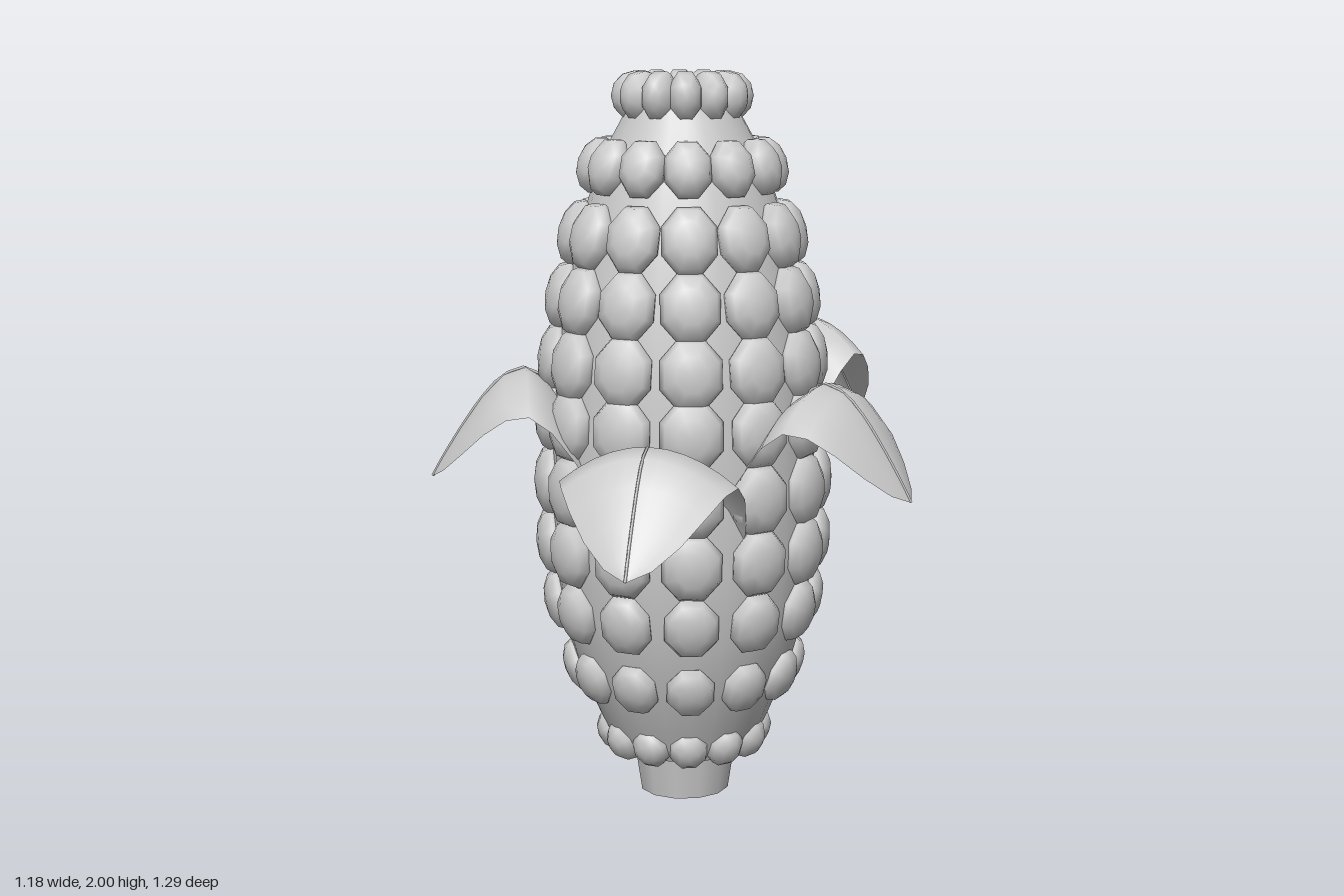
import * as THREE from 'three';
import { mergeGeometries, toCreasedNormals } from 'three/addons/utils/BufferGeometryUtils.js';

const grey = new THREE.MeshStandardMaterial({ color: 0xcccccc, side: THREE.DoubleSide });
grey.name = 'plain grey';

function part(name, geometry) {
  const mesh = new THREE.Mesh(geometry, grey);
  mesh.name = name;
  return mesh;
}

// Rows of kernels: height, centre radius, half width, half height, depth, tilt
const ROWS = [
  [0.17, 0.195, 0.055, 0.057, 0.050, -0.40],
  [0.36, 0.293, 0.067, 0.072, 0.042, -0.35],
  [0.55, 0.343, 0.076, 0.082, 0.046, -0.20],
  [0.72, 0.361, 0.084, 0.090, 0.048, -0.06],
  [0.89, 0.364, 0.087, 0.094, 0.048, 0.00],
  [1.07, 0.360, 0.087, 0.094, 0.048, 0.05],
  [1.23, 0.348, 0.086, 0.093, 0.050, 0.11],
  [1.40, 0.323, 0.083, 0.091, 0.052, 0.19],
  [1.57, 0.286, 0.077, 0.089, 0.052, 0.26],
  [1.75, 0.230, 0.065, 0.077, 0.054, 0.34],
  [1.934, 0.128, 0.047, 0.066, 0.064, 0.00],
];

// One ring of twelve rounded kernels, each bulging outward
function kernelRing([y, radius, w, h, depth, tilt]) {
  const kernel = new THREE.SphereGeometry(1, 8, 6);
  kernel.rotateX(Math.PI / 2).rotateZ(Math.PI / 8);
  kernel.scale(w * 1.03, h / Math.cos(Math.PI / 8), depth);
  kernel.rotateX(-tilt).translate(0, y, radius);
  const ring = [];
  for (let i = 0; i < 12; i++) ring.push(kernel.clone().rotateY((i + 0.5) * Math.PI / 6));
  return mergeGeometries(ring);
}

// Leaf stations from root to tip: radius, height above tip, half width
const LEAF = [
  [0.25, 0.06, 0.215], [0.31, 0.17, 0.235], [0.37, 0.255, 0.243], [0.43, 0.295, 0.237],
  [0.49, 0.275, 0.215], [0.55, 0.215, 0.178], [0.61, 0.13, 0.125], [0.66, 0.05, 0.062], [0.688, 0, 0.001],
];

// Arched leaf pointing along +x, with its sides drooping
function leafBlade(stations) {
  const across = 10, positions = [], index = [];
  stations.forEach(([r, y, w], i) => {
    for (let j = 0; j <= across; j++) {
      const v = (j / across) * 2 - 1;
      positions.push(r, y - 0.1 * (w / 0.24) * v * v, w * v);
      if (i && j) {
        const d = i * (across + 1) + j, b = d - across - 1;
        index.push(b - 1, b, d, b - 1, d, d - 1);
      }
    }
  });
  const geometry = new THREE.BufferGeometry();
  geometry.setAttribute('position', new THREE.Float32BufferAttribute(positions, 3));
  geometry.setIndex(index);
  geometry.computeVertexNormals();
  return geometry;
}

function leaf(stations) {
  const group = new THREE.Group();
  group.name = 'leaf';
  const rib = new THREE.CatmullRomCurve3(stations.map(([r, y]) => new THREE.Vector3(r, y, 0)));
  group.add(part('leafBlade', leafBlade(stations)));
  group.add(part('leafMidrib', new THREE.TubeGeometry(rib, 16, 0.004, 4)));
  return group;
}

export function createModel() {
  const model = new THREE.Group();
  model.name = 'cornCob';
  const ear = new THREE.Group();
  ear.name = 'ear';
  ear.position.set(-0.085, 0, 0.04);
  model.add(ear);

  // Core of the cob, tapering to both ends
  const core = [
    [0, 0.12], [0.19, 0.13], [0.235, 0.22], [0.295, 0.36], [0.34, 0.52], [0.362, 0.7],
    [0.365, 0.9], [0.36, 1.08], [0.345, 1.25], [0.315, 1.43], [0.272, 1.61], [0.215, 1.78],
    [0.155, 1.89], [0.125, 1.96], [0, 1.96],
  ].map(([r, y]) => new THREE.Vector2(r, y));
  ear.add(part('cobCore', toCreasedNormals(new THREE.LatheGeometry(core, 24), 0.7)));

  // Short stalk at the foot
  const stalk = new THREE.CylinderGeometry(0.148, 0.125, 0.15, 12);
  ear.add(part('stalk', stalk.translate(0, 0.075, 0)));

  ROWS.forEach((row) => ear.add(part('kernelRow', kernelRing(row))));

  // Four full leaves and one pressed against the cob: angle, tip height
  const pressed = LEAF.map(([r, y, w]) => [0.35 + (r - 0.35) * 0.3, y * 0.6, w]);
  const leaves = [[-83.7, 1.02], [-11.7, 0.89], [60.6, 0.76], [132.8, 0.91], [204.9, 1.1]];
  leaves.forEach(([angle, y], i) => {
    const husk = leaf(i === 4 ? pressed : LEAF);
    husk.rotation.y = -THREE.MathUtils.degToRad(angle);
    husk.position.y = y;
    ear.add(husk);
  });
  return model;
}
